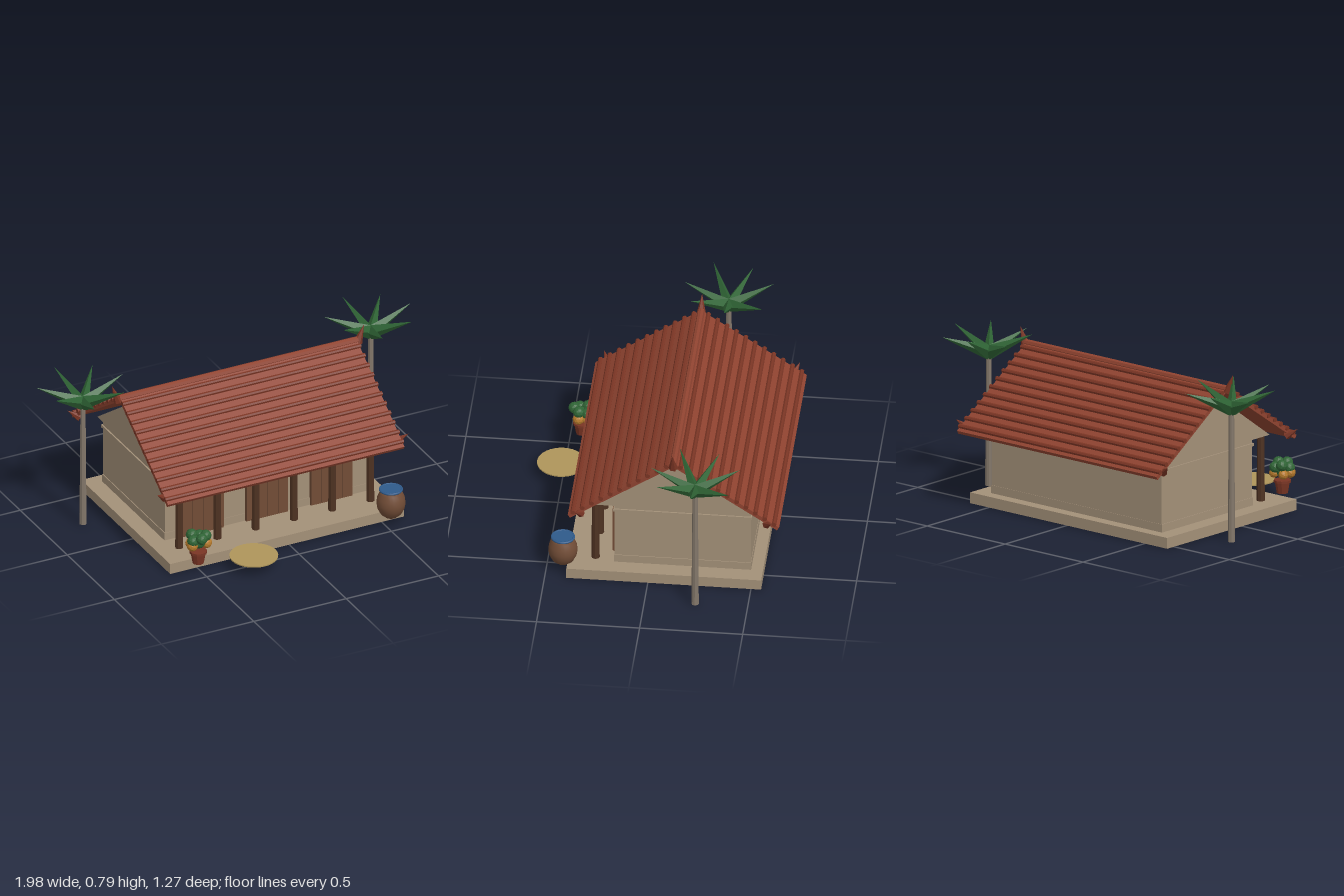
import * as THREE from 'three';

const mat = (name, color, flat = false) =>
  new THREE.MeshStandardMaterial({ name, color, flatShading: flat });

export function createModel() {
  const plaster = mat('plaster', 0xa39078);
  const tile = mat('roof tile', 0x8f4330, true);
  const darkTile = mat('dark terracotta', 0x7a3524, true);
  const darkWood = mat('dark wood', 0x4e3222, true);
  const brown = mat('brown wood and clay', 0x714c36);
  const bark = mat('palm bark', 0x83776a, true);
  const green = mat('leaf green', 0x2f6435, true);
  const orange = mat('orange blossom', 0xb57a2c, true);
  const blue = mat('blue lid', 0x2f5a8a);
  const straw = mat('straw', 0xae955a);

  const root = new THREE.Group();
  const add = (name, geo, material, x = 0, y = 0, z = 0, parent = root) => {
    const m = new THREE.Mesh(geo, material);
    m.name = name;
    m.position.set(x, y, z);
    parent.add(m);
    return m;
  };
  const group = (name, x = 0, y = 0, z = 0) => {
    const g = new THREE.Group();
    g.name = name;
    g.position.set(x, y, z);
    root.add(g);
    return g;
  };
  const box = (w, h, d) => new THREE.BoxGeometry(w, h, d);
  const cx = -0.012; // middle of the house in x

  // Platform and walls with base band and cornice
  add('platform', box(1.265, 0.054, 0.945), plaster, cx, 0.027, -0.077);
  add('walls', box(1.09, 0.33, 0.66), plaster, cx, 0.217, -0.16);
  add('baseBand', box(1.098, 0.04, 0.664), plaster, cx, 0.074, -0.16);
  add('cornice', box(1.105, 0.014, 0.672), plaster, cx, 0.358, -0.16);

  // Gable prism under the roof, extruded along x
  const tri = new THREE.Shape([
    new THREE.Vector2(-0.3, 0.38),
    new THREE.Vector2(0.55, 0.38),
    new THREE.Vector2(0.125, 0.677),
  ]);
  const gable = new THREE.ExtrudeGeometry(tri, { depth: 1.09, bevelEnabled: false });
  gable.rotateY(Math.PI / 2);
  add('gable', gable, plaster, cx - 0.545, 0, 0);

  // Three plank doors on the porch
  for (const x of [-0.36, cx, 0.338]) {
    const door = group('door', x, 0.182, 0.17);
    add('doorLeaf', box(0.226, 0.255, 0.02), brown, 0, 0, 0.004, door);
    for (let i = 0; i < 4; i++)
      add('doorPlank', box(0.053, 0.244, 0.006), brown, (i - 1.5) * 0.0565, 0, 0.015, door);
  }

  // Porch columns
  for (let i = 0; i < 6; i++)
    add('porchColumn', new THREE.CylinderGeometry(0.018, 0.02, 0.33, 8), darkWood,
      cx + (i - 2.5) * 0.207, 0.219, 0.265);

  // Roof slopes: a slab with rows of rounded tiles
  const ridgeZ = -0.125, ridgeY = 0.71, run = 0.507, drop = 0.34;
  const slopeLength = Math.hypot(run, drop);
  const pitch = Math.atan2(drop, run);
  for (const side of [1, -1]) {
    const slope = group(side > 0 ? 'frontRoof' : 'backRoof', cx, ridgeY, ridgeZ);
    slope.rotation.x = side * pitch;
    add('roofSlab', box(1.28, 0.02, slopeLength), tile, 0, 0, side * slopeLength / 2, slope);
    for (let i = 0; i < 11; i++) {
      const rod = add('tileRow', new THREE.CylinderGeometry(0.012, 0.012, 1.29, 8), darkTile,
        0, 0.011, side * (0.035 + i * 0.0545), slope);
      rod.rotation.z = Math.PI / 2;
    }
  }
  const ridge = add('ridgeCap', new THREE.CylinderGeometry(0.018, 0.018, 1.29, 8), tile, cx, 0.714, ridgeZ);
  ridge.rotation.z = Math.PI / 2;

  // Pointed ornaments at ridge and eave ends
  const up = new THREE.Vector3(0, 1, 0);
  const spike = (name, base, tip, r) => {
    const dir = tip.clone().sub(base);
    const len = dir.length();
    const geo = new THREE.ConeGeometry(r, len, 6).translate(0, len / 2, 0);
    const m = add(name, geo, darkTile, base.x, base.y, base.z);
    m.quaternion.setFromUnitVectors(up, dir.normalize());
  };
  for (const s of [1, -1]) {
    const x = (d) => cx + s * d;
    spike('ridgeFinial', new THREE.Vector3(x(0.648), 0.7, ridgeZ),
      new THREE.Vector3(x(0.682), 0.79, ridgeZ), 0.023);
    for (const e of [1, -1])
      spike('eaveFinial', new THREE.Vector3(x(0.628), 0.385, ridgeZ + e * 0.45),
        new THREE.Vector3(x(0.68), 0.422, ridgeZ + e * 0.475), 0.021);
  }

  // Palms: tapered trunk with seven rising fronds
  for (const px of [-0.79, 0.768]) {
    const palm = group('palm', px, 0, -0.245);
    add('palmTrunk', new THREE.CylinderGeometry(0.013, 0.018, 0.66, 8), bark, 0, 0.33, 0, palm);
    for (let i = 0; i < 7; i++) {
      const a = (i * Math.PI * 2) / 7;
      const frond = new THREE.Group();
      frond.name = 'frond';
      frond.position.y = 0.665;
      frond.rotation.y = a;
      palm.add(frond);
      const geo = new THREE.ConeGeometry(0.036, 0.243, 4).translate(0, 0.1215, 0);
      geo.scale(1, 1, 0.8);
      const leaf = add('palmLeaf', geo, green, 0, 0, 0, frond);
      leaf.rotation.z = -Math.PI / 2 + (i % 2 ? 0.36 : 0.45);
    }
  }

  // Flower pot with leaves and blossoms
  const plant = group('pottedPlant', -0.515, 0.054, 0.44);
  add('flowerPot', new THREE.CylinderGeometry(0.038, 0.028, 0.06, 10), darkTile, 0, 0.03, 0, plant);
  add('potRim', new THREE.CylinderGeometry(0.043, 0.043, 0.012, 10), darkTile, 0, 0.06, 0, plant);
  const blob = (name, r, m, x, y, z) =>
    add(name, new THREE.IcosahedronGeometry(r, 1), m, x, y, z, plant);
  for (let i = 0; i < 5; i++) {
    const a = (i * Math.PI * 2) / 5 + Math.PI / 2;
    blob('leafCluster', 0.029, green, Math.cos(a) * 0.036, 0.145 - (i % 2) * 0.015, Math.sin(a) * 0.036);
  }
  blob('leafCluster', 0.036, green, 0, 0.115, 0);
  for (const s of [1, -1]) {
    blob('blossom', 0.028, orange, s * 0.038, 0.106, 0.012);
    blob('blossom', 0.024, orange, s * 0.03, 0.1, -0.028);
  }

  // Water jar with blue lid
  const jar = group('waterJar', 0.538, 0, 0.42);
  const profile = [[0, 0.032], [0.03, 0.036], [0.052, 0.055], [0.067, 0.085], [0.071, 0.112],
    [0.067, 0.14], [0.056, 0.165], [0.048, 0.18], [0, 0.18]].map(([r, y]) => new THREE.Vector2(r, y));
  add('jarBody', new THREE.LatheGeometry(profile, 24), brown, 0, 0, 0, jar);
  add('jarLid', new THREE.CylinderGeometry(0.052, 0.052, 0.01, 24), blue, 0, 0.182, 0, jar);
  const rim = add('jarLidRim', new THREE.TorusGeometry(0.053, 0.006, 8, 24), blue, 0, 0.183, 0, jar);
  rim.rotation.x = Math.PI / 2;

  // Round straw mat in front of the porch
  add('strawMat', new THREE.CylinderGeometry(0.118, 0.118, 0.006, 32), straw, -0.25, 0.06, 0.51);

  return root;
}
